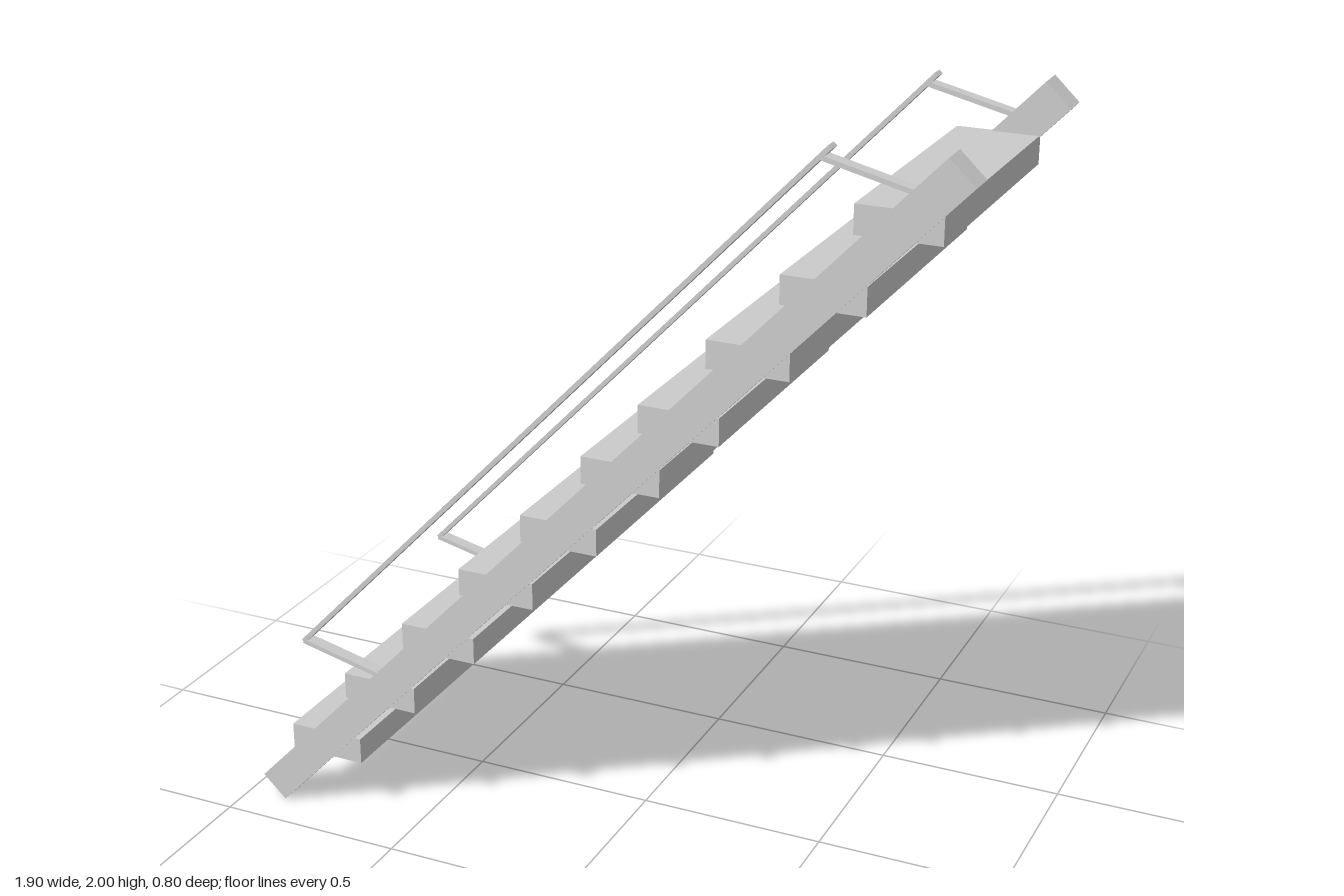
import * as THREE from 'three';

const material = new THREE.MeshStandardMaterial({ color: 0xcccccc, flatShading: true });

// Rectangular bar running from a to b in the x-y plane, centred at depth z
function bar(name, a, b, thickness, depth, z) {
  const dx = b[0] - a[0], dy = b[1] - a[1];
  const mesh = new THREE.Mesh(new THREE.BoxGeometry(Math.hypot(dx, dy), thickness, depth), material);
  mesh.position.set((a[0] + b[0]) / 2, (a[1] + b[1]) / 2, z);
  mesh.rotation.z = Math.atan2(dy, dx);
  mesh.name = name;
  return mesh;
}

export function createModel() {
  const stairs = new THREE.Group();
  stairs.name = 'staircase';

  for (const [side, s] of [['front', 1], ['back', -1]]) {
    // Sloping side beam
    stairs.add(bar(side + 'Stringer', [-0.92, 0.033], [0.92, 1.968], 0.088, 0.074, s * 0.363));

    // Flat handrail with its two brackets
    const rail = new THREE.Group();
    rail.name = side + 'Handrail';
    rail.add(
      bar('railBar', [-0.815, 0.485], [0.612, 1.983], 0.012, 0.035, s * 0.36),
      bar('lowerBracket', [-0.815, 0.485], [-0.59, 0.432], 0.012, 0.035, s * 0.36),
      bar('upperBracket', [0.588, 1.958], [0.804, 1.906], 0.012, 0.035, s * 0.36)
    );
    stairs.add(rail);
  }

  // Treads, given by left edge and top height
  const treads = [
    [-0.863, 0.228], [-0.692, 0.417], [-0.512, 0.6], [-0.341, 0.788], [-0.164, 0.969],
    [0.003, 1.154], [0.154, 1.311], [0.325, 1.499], [0.503, 1.68], [0.672, 1.865],
  ];
  const width = 0.207, height = 0.071;
  for (const [left, top] of treads) {
    const tread = new THREE.Mesh(new THREE.BoxGeometry(width, height, 0.714), material);
    tread.position.set(left + width / 2, top - height / 2, 0.021);
    tread.name = 'tread';
    stairs.add(tread);
  }
  return stairs;
}
